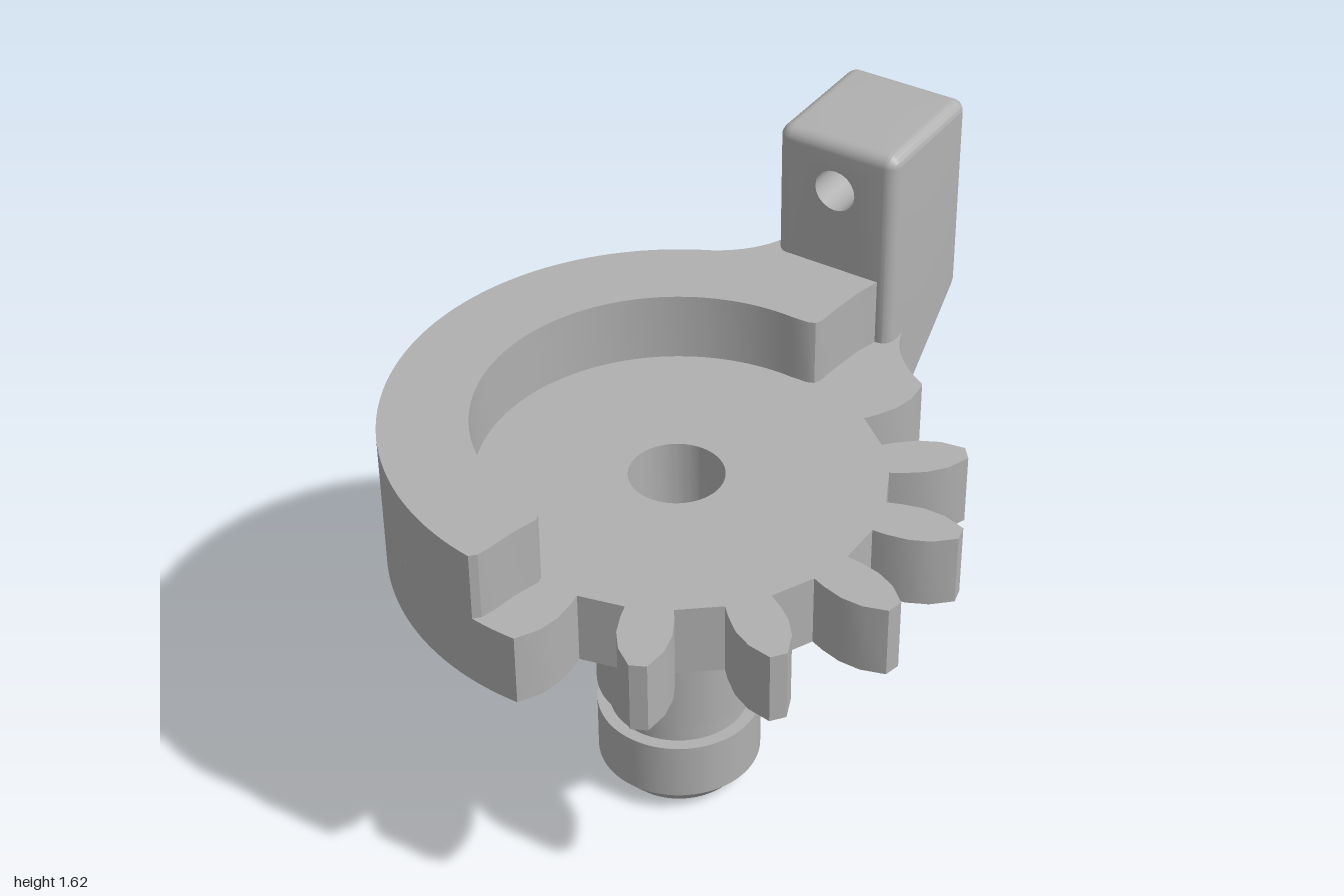
import * as THREE from 'three';
import { toCreasedNormals } from 'three/addons/utils/BufferGeometryUtils.js';

const AXIS_Z = 0.22; // shaft and gear axis
const OUTER = 0.78;
const RAD = Math.PI / 180;

export function createModel() {
  const group = new THREE.Group();
  const grey = new THREE.MeshStandardMaterial({ color: 0xb0b0b0 });
  grey.name = 'plain grey';

  const add = (name, geometry, z = 0) => {
    const mesh = new THREE.Mesh(toCreasedNormals(geometry, 0.5), grey);
    mesh.name = name;
    mesh.position.z = z;
    group.add(mesh);
  };

  const V = (x, y) => new THREE.Vector2(x, y);
  // plan coordinates: x to the side, y towards the back
  const polar = (u, v, t) =>
    V(u * Math.cos(t) - v * Math.sin(t), -AXIS_Z + u * Math.sin(t) + v * Math.cos(t));
  const arc = (r, from, to, n) =>
    Array.from({ length: n + 1 }, (_, i) => polar(r, 0, (from + ((to - from) * i) / n) * RAD));
  const bend = (a, b, c) => new THREE.QuadraticBezierCurve(a, b, c).getPoints(10);
  const slab = (shape, y, height) =>
    new THREE.ExtrudeGeometry(shape, { depth: height, bevelEnabled: false, curveSegments: 48 })
      .rotateX(-Math.PI / 2)
      .translate(0, y, 0);

  // Tooth flank: distance along the tooth and half width
  const flank = [[0.56, 0.062], [0.6, 0.068], [0.66, 0.07], [0.72, 0.057], [0.78, 0.023]];
  const rising = (t) => flank.map(([u, v]) => polar(u, -v, t));
  const falling = (t) => flank.map(([u, v]) => polar(u, v, t)).reverse();
  const pitch = (2 * Math.PI) / 14;

  const leftNeck = bend(V(-0.18, 0.7), V(-0.2, 0.565), V(-0.33, 0.487));
  const outerArc = (end) => arc(OUTER, 116, end, 64);

  // Toothed plate with the neck under the post
  const plate = [...falling(-3.5 * pitch)];
  for (let k = -2.5; k < 2; k++) plate.push(...rising(k * pitch), ...falling(k * pitch));
  plate.push(
    ...rising(2.5 * pitch),
    ...bend(V(0.355, 0.482), V(0.2, 0.565), V(0.18, 0.7)),
    V(0.18, 0.735), V(-0.18, 0.735),
    ...leftNeck,
    ...outerArc(269.5)
  );
  const plateShape = new THREE.Shape(plate);
  plateShape.holes.push(new THREE.Path().absarc(0, -AXIS_Z, 0.13, 0, 2 * Math.PI, true));
  add('gearPlate', slab(plateShape, 0.81, 0.21));

  // Raised crescent rim
  const rim = [
    ...leftNeck,
    ...outerArc(262),
    V(-0.092, -0.975), V(-0.083, -0.94), V(-0.07, -0.86), V(-0.05, -0.785), V(-0.058, -0.765),
    ...arc(0.54, 261, 87, 64),
    V(0.08, 0.32), V(0.1, 0.328), V(0.108, 0.345), V(0.114, 0.43), V(0.125, 0.52),
    V(0.145, 0.6), V(0.18, 0.69), V(0.18, 0.735), V(-0.18, 0.735),
  ];
  add('raisedRim', slab(new THREE.Shape(rim), 1.02, 0.2));

  // Post: rounded block with a cross hole and a sloped lower back
  const w = 0.185, top = 1.62, low = 0.81, r = 0.035, holeY = 1.47, holeR = 0.062;
  const block = new THREE.Shape();
  block.moveTo(-w, low);
  block.lineTo(w, low);
  block.lineTo(w, top - r);
  block.absarc(w - r, top - r, r, 0, Math.PI / 2, false);
  block.lineTo(-w + r, top);
  block.absarc(-w + r, top - r, r, Math.PI / 2, Math.PI, false);
  block.closePath();
  // contour is inset by the bevel offset, so the sides end up at full width
  block.holes.push(new THREE.Path().absarc(0, holeY, holeR, 0, 2 * Math.PI, true));
  const post = new THREE.ExtrudeGeometry(block, {
    depth: 0.34, steps: 3, curveSegments: 10,
    bevelThickness: r, bevelSize: r, bevelOffset: -r, bevelSegments: 4,
  }).translate(0, 0, -0.965);
  const p = post.attributes.position;
  for (let i = 0; i < p.count; i++) {
    const x = p.getX(i), y = p.getY(i), z = p.getZ(i);
    const d = Math.hypot(x, y - holeY);
    if (d < 0.105) {
      // keep the cross hole straight
      p.setXY(i, (x / d) * holeR, holeY + ((y - holeY) / d) * holeR);
    } else {
      p.setY(i, Math.max(y, low + (-0.74 - z) * 0.942));
    }
  }
  add('post', post);

  const lathe = (pts) => new THREE.LatheGeometry(pts.map(([a, b]) => V(a, b)), 96);

  // Grooved shaft with a flat along its back and a small centre hole below
  const shaft = lathe([
    [0, 0.1], [0.035, 0.1], [0.035, 0], [0.175, 0], [0.23, 0.065], [0.23, 0.24],
    [0.195, 0.24], [0.195, 0.32], [0.23, 0.32], [0.23, 0.69],
  ]);
  const s = shaft.attributes.position;
  for (let i = 0; i < s.count; i++) s.setZ(i, Math.max(s.getZ(i), -0.135));
  add('shaft', shaft, AXIS_Z);

  // Collar and blind bore
  add('collar', lathe([[0.1, 0.685], [0.315, 0.685], [0.315, 0.815]]), AXIS_Z);
  add('bore', lathe([[0.13, 0.82], [0.13, 0.35], [0, 0.35]]), AXIS_Z);

  return group;
}
